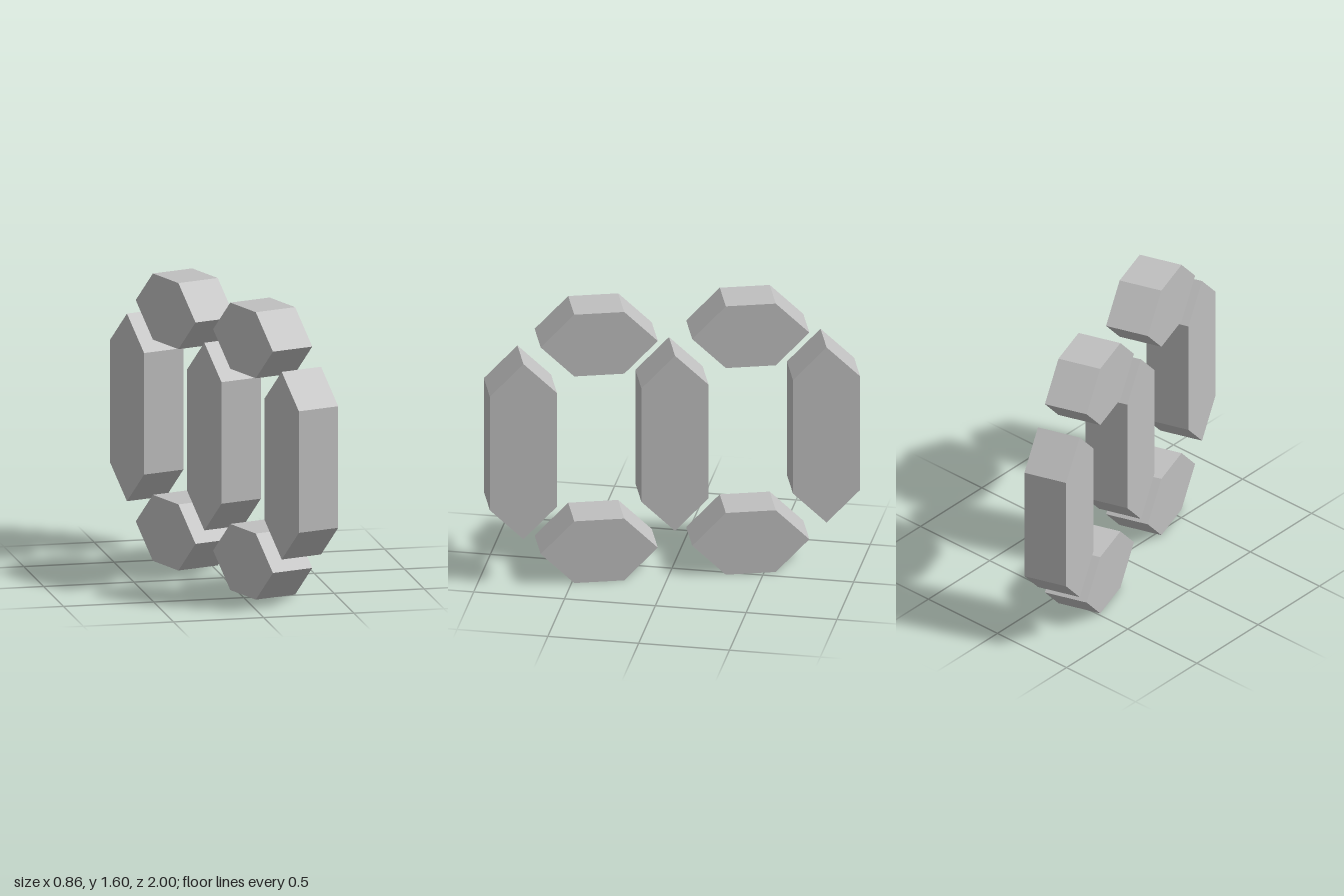
import * as THREE from 'three';

const THICK = 0.247;   // depth of every segment
const HALF = 0.1835;   // half width of every segment
const MID = 0.799;     // height of the display's middle

// Bar with 45-degree pointed ends, lying along local x
function segmentGeometry(halfLength) {
  const flat = halfLength - HALF;
  const shape = new THREE.Shape([
    [halfLength, 0], [flat, HALF], [-flat, HALF],
    [-halfLength, 0], [-flat, -HALF], [flat, -HALF],
  ].map(([x, y]) => new THREE.Vector2(x, y)));
  const geometry = new THREE.ExtrudeGeometry(shape, { depth: THICK, bevelEnabled: false });
  return geometry.translate(0, 0, -THICK / 2);
}

export function createModel() {
  const model = new THREE.Group();
  model.name = 'segmentDisplay';
  const grey = new THREE.MeshStandardMaterial({ color: 0xbfbfbf, flatShading: true });
  grey.name = 'grey';

  const uprightGeometry = segmentGeometry(0.521).rotateZ(Math.PI / 2);
  const crossGeometry = segmentGeometry(0.32);

  function addSegment(name, geometry, x, y) {
    const mesh = new THREE.Mesh(geometry, grey);
    mesh.name = name;
    mesh.position.set(x, y, 0);
    model.add(mesh);
  }

  // Three tall uprights
  ['rearUpright', 'middleUpright', 'frontUpright'].forEach((name, i) =>
    addSegment(name, uprightGeometry, (i - 1) * 0.828, MID));

  // Short bars above and below each gap
  for (const [end, side] of [['rear', -1], ['front', 1]]) {
    addSegment(end + 'TopBar', crossGeometry, side * 0.414, MID + 0.6145);
    addSegment(end + 'BottomBar', crossGeometry, side * 0.414, MID - 0.6145);
  }

  // Turn the row so it runs mostly front to back
  model.rotation.y = THREE.MathUtils.degToRad(-72);
  const root = new THREE.Group();
  root.add(model);
  return root;
}
